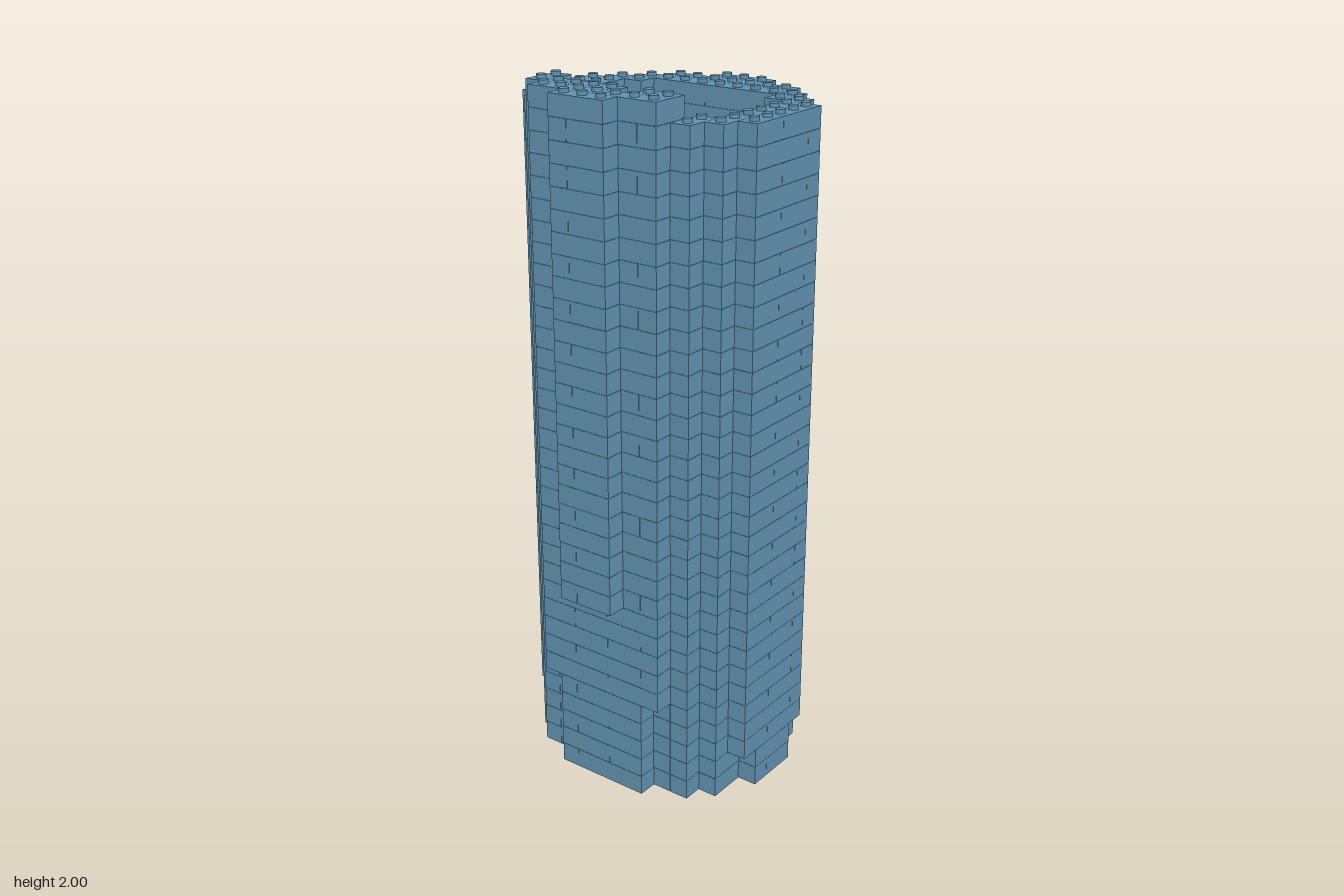
import * as THREE from 'three';
import { mergeGeometries } from 'three/addons/utils/BufferGeometryUtils.js';

const P = 0.0585;          // cell pitch, also the height of one course
const GAP = 0.0008;        // seam between neighbouring bricks
const COURSES = 34;
const STUD_R = 0.0135, STUD_H = 2 - COURSES * P;
const HALF_WIDTH = [6, 6, 5, 5, 4, 3, 2];   // outline: widest x cell for each |z|

// Is the cell (x, z) filled in the given course?
function filled(x, z, c) {
  if (c < 0 || c >= COURSES) return false;
  const ax = Math.abs(x), az = Math.abs(z);
  if (az > 6 || ax > HALF_WIDTH[az]) return false;
  // narrower foot
  if (ax === 6 && c < 10) return false;
  if (ax === 5 && az === 3 && c < 5) return false;
  if (ax === 2 && az === 6 && c < 2) return false;
  // solid floor, then a hollow shaft with four low corner blocks
  if (c >= 2) {
    if (az <= 3 && ax <= 3) return false;
    if (az === 4 && ax <= 2 && !(ax === 2 && c < 5)) return false;
  }
  // unfinished last course on one side only
  if (c === COURSES - 1) return x <= -3 && z >= -4 && z <= 3 && !(x === -4 && z === 1);
  return true;
}

// Split a line of cells into bricks, with the joints staggered by course
function runs(isFilled, shift) {
  const out = [];
  let start = null;
  for (let i = -6; i <= 7; i++) {
    const on = i <= 6 && isFilled(i);
    const joint = (i + 12 + shift) % 4 === 0;
    if (start !== null && (!on || joint)) { out.push([start, i - 1]); start = null; }
    if (on && start === null) start = i;
  }
  return out;
}

function brick(x0, x1, z0, z1, c) {
  const g = new THREE.BoxGeometry((x1 - x0 + 1) * P - GAP, P - GAP, (z1 - z0 + 1) * P - GAP);
  return g.translate((x0 + x1) / 2 * P, (c + 0.5) * P, (z0 + z1) / 2 * P);
}

export function createModel() {
  const tower = new THREE.Group();
  tower.name = 'brickTower';
  const blue = new THREE.MeshStandardMaterial({ color: 0x6092b0 });
  blue.name = 'dusty blue';

  for (let c = 0; c < COURSES; c++) {
    const bricks = [], studs = [];
    const shift = (c % 2) * 2;
    // front and back walls: bricks along x
    for (const z of [-6, -5, -4, 4, 5, 6])
      for (const [a, b] of runs(x => filled(x, z, c), shift + Math.abs(z) % 2))
        bricks.push(brick(a, b, z, z, c));
    // side walls and floor: bricks along z
    for (let x = -6; x <= 6; x++)
      for (const [a, b] of runs(z => Math.abs(z) <= 3 && filled(x, z, c), shift + Math.abs(x) % 2))
        bricks.push(brick(x, x, a, b, c));
    // studs wherever nothing rests on top
    for (let x = -6; x <= 6; x++)
      for (let z = -6; z <= 6; z++)
        if (filled(x, z, c) && !filled(x, z, c + 1))
          studs.push(new THREE.CylinderGeometry(STUD_R, STUD_R, STUD_H, 16)
            .translate(x * P, (c + 1) * P + STUD_H / 2 - GAP / 2, z * P));

    const course = new THREE.Mesh(mergeGeometries(bricks), blue);
    course.name = 'course' + (c + 1);
    tower.add(course);
    if (studs.length) {
      const mesh = new THREE.Mesh(mergeGeometries(studs), blue);
      mesh.name = 'studs' + (c + 1);
      tower.add(mesh);
    }
  }
  return tower;
}
